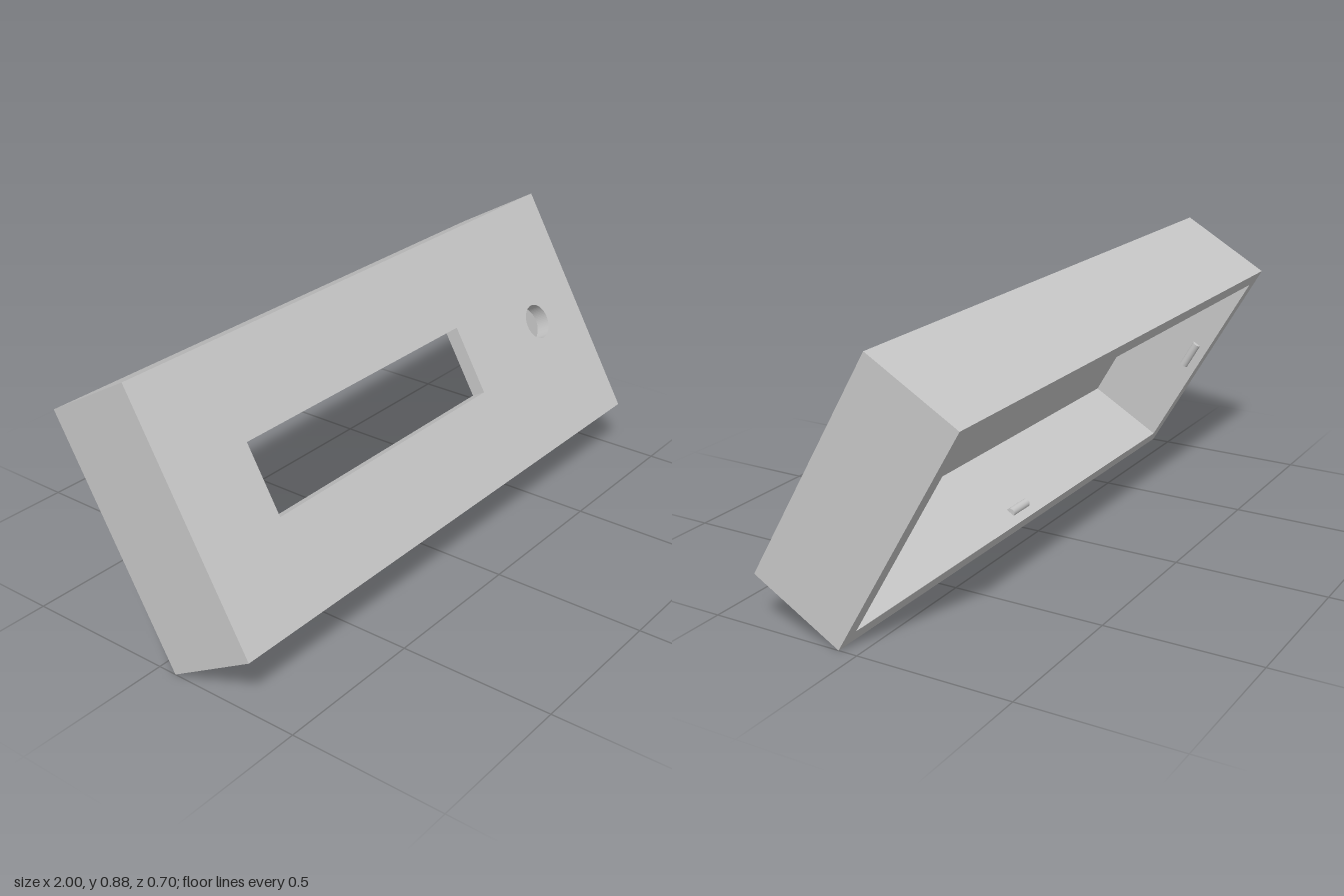
import * as THREE from 'three';

const W = 2, H = 0.826, D = 0.333, T = 0.05; // outer size and wall thickness
const TILT = Math.PI / 6;

// Counter-clockwise rectangle between two corners
function rect(path, x0, y0, x1, y1) {
  path.moveTo(x0, y0);
  path.lineTo(x1, y0);
  path.lineTo(x1, y1);
  path.lineTo(x0, y1);
  path.closePath();
  return path;
}

export function createModel() {
  const grey = new THREE.MeshStandardMaterial({ color: 0xc8c8c8 });
  grey.name = 'light grey plastic';

  const model = new THREE.Group();
  model.name = 'tiltedEnclosure';
  const body = new THREE.Group();
  body.name = 'enclosureBody';
  model.add(body);

  const add = (name, geometry) => {
    const mesh = new THREE.Mesh(geometry, grey);
    mesh.name = name;
    body.add(mesh);
    return mesh;
  };
  const extrude = (shape, depth) =>
    new THREE.ExtrudeGeometry(shape, { depth, bevelEnabled: false, curveSegments: 32 });

  // Front panel with display window and round control hole
  const panel = rect(new THREE.Shape(), -W / 2, -H / 2, W / 2, H / 2);
  panel.holes.push(rect(new THREE.Path(), -0.69, -0.116, 0.333, 0.116));
  panel.holes.push(new THREE.Path().absarc(0.745, 0, 0.06, 0, Math.PI * 2, true));
  add('frontPanel', extrude(panel, T)).position.z = D / 2 - T;

  // Four side walls, open at the back
  const walls = rect(new THREE.Shape(), -W / 2, -H / 2, W / 2, H / 2);
  walls.holes.push(rect(new THREE.Path(), -W / 2 + T, -H / 2 + T, W / 2 - T, H / 2 - T));
  add('sideWalls', extrude(walls, D - T)).position.z = -D / 2;

  // Small rounded snap ridges inside each wall, near the back opening
  const ridge = new THREE.CylinderGeometry(0.015, 0.015, 0.1, 20);
  const z = -D / 2 + 0.046;
  for (const side of [-1, 1]) {
    const end = add(side > 0 ? 'leftSnapRidge' : 'rightSnapRidge', ridge);
    end.position.set(side * (W / 2 - T), 0, z);
    const long = add(side > 0 ? 'topSnapRidge' : 'bottomSnapRidge', ridge);
    long.rotation.z = Math.PI / 2;
    long.position.set(0, side * (H / 2 - T), z);
  }

  // Lean back, resting on the lower rear edge
  body.rotation.x = -TILT;
  body.position.y = (H * Math.cos(TILT) + D * Math.sin(TILT)) / 2;
  return model;
}
